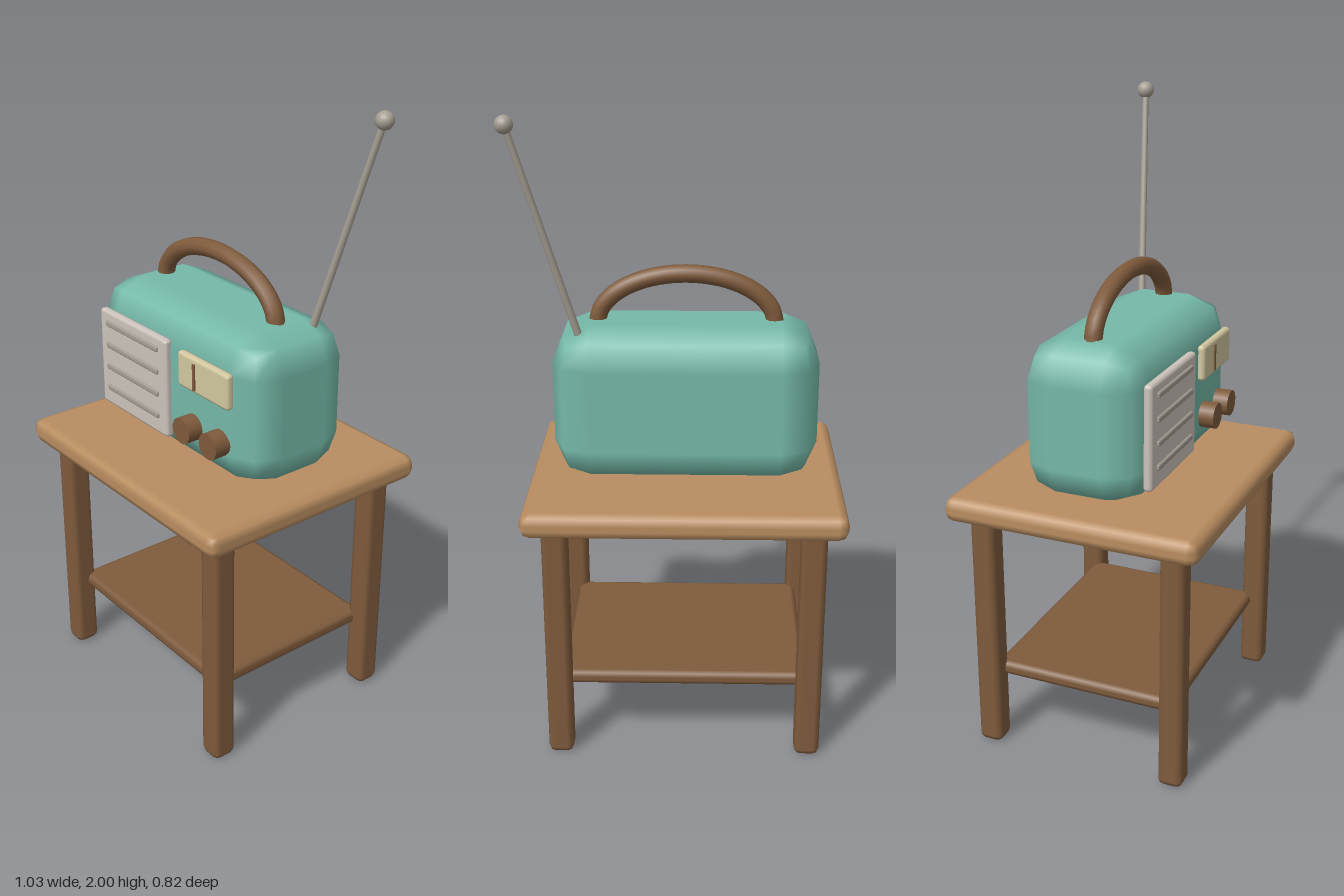
import * as THREE from 'three';
import { RoundedBoxGeometry } from 'three/addons/geometries/RoundedBoxGeometry.js';

const paint = (name, color) => {
  const m = new THREE.MeshStandardMaterial({ color });
  m.name = name;
  return m;
};

export function createModel() {
  const lightWood = paint('light wood', 0xb98d60);
  const darkWood = paint('dark wood', 0x7f5b3c);
  const teal = paint('teal shell', 0x76baaa);
  const panel = paint('pale grille', 0xcdc4bc);
  const metal = paint('metal', 0xa59e92);
  const cream = paint('cream dial', 0xd3c8a0);

  const group = new THREE.Group();
  const CX = -0.024; // middle of table and radio

  const add = (parent, name, geometry, material, x = 0, y = 0, z = 0) => {
    const mesh = new THREE.Mesh(geometry, material);
    mesh.name = name;
    mesh.position.set(x, y, z);
    parent.add(mesh);
    return mesh;
  };
  const rounded = (w, h, d, r, seg = 1) => new RoundedBoxGeometry(w, h, d, seg, r);

  // Side table: top, four legs, low shelf
  const table = new THREE.Group();
  table.name = 'sideTable';
  group.add(table);
  add(table, 'tableTop', rounded(0.985, 0.08, 0.82, 0.032), lightWood, CX, 0.83, 0);
  for (const sx of [-1, 1]) {
    for (const sz of [-1, 1]) {
      add(table, 'tableLeg', rounded(0.08, 0.8, 0.08, 0.02), darkWood, CX + sx * 0.395, 0.4, sz * 0.312);
    }
  }
  add(table, 'lowerShelf', rounded(0.77, 0.046, 0.61, 0.018), darkWood, CX, 0.252, 0);

  // Radio body
  const radio = new THREE.Group();
  radio.name = 'radio';
  group.add(radio);
  add(radio, 'radioBody', rounded(0.82, 0.49, 0.395, 0.117), teal, CX, 1.115, -0.002);

  // Arched carrying handle
  const arch = [];
  for (let i = 0; i <= 12; i++) {
    const a = Math.PI * (1 - i / 12);
    arch.push(new THREE.Vector3(CX + 0.275 * Math.cos(a), 1.345 + 0.157 * Math.sin(a), 0));
  }
  add(radio, 'handle', new THREE.TubeGeometry(new THREE.CatmullRomCurve3(arch), 32, 0.028, 10), darkWood);

  // Speaker grille with four raised bars
  add(radio, 'speakerPanel', rounded(0.36, 0.33, 0.03, 0.012), panel, -0.19, 1.1, 0.2);
  for (let i = 0; i < 4; i++) {
    add(radio, 'speakerBar', rounded(0.28, 0.02, 0.016, 0.006), metal, -0.19, 1.0 + i * 0.075, 0.214);
  }

  // Tuning dial and needle
  add(radio, 'tuningDial', rounded(0.245, 0.115, 0.028, 0.012), cream, 0.173, 1.202, 0.204);
  add(radio, 'dialNeedle', new THREE.BoxGeometry(0.01, 0.085, 0.012), darkWood, 0.138, 1.2, 0.217);

  // Knobs
  for (const x of [0.105, 0.236]) {
    const knob = add(radio, 'knob', new THREE.CylinderGeometry(0.042, 0.042, 0.06, 20), darkWood, x, 1.018, 0.216);
    knob.rotation.x = Math.PI / 2;
  }

  // Slanted antenna with ball tip
  const base = new THREE.Vector3(0.3, 1.33, -0.1);
  const tip = new THREE.Vector3(0.487, 1.973, -0.166);
  const dir = tip.clone().sub(base);
  const rod = add(radio, 'antennaRod', new THREE.CylinderGeometry(0.01, 0.012, dir.length(), 10), metal);
  rod.position.copy(base).addScaledVector(dir, 0.5);
  rod.quaternion.setFromUnitVectors(new THREE.Vector3(0, 1, 0), dir.normalize());
  add(radio, 'antennaTip', new THREE.SphereGeometry(0.027, 16, 12), metal, tip.x, tip.y, tip.z);

  return group;
}
